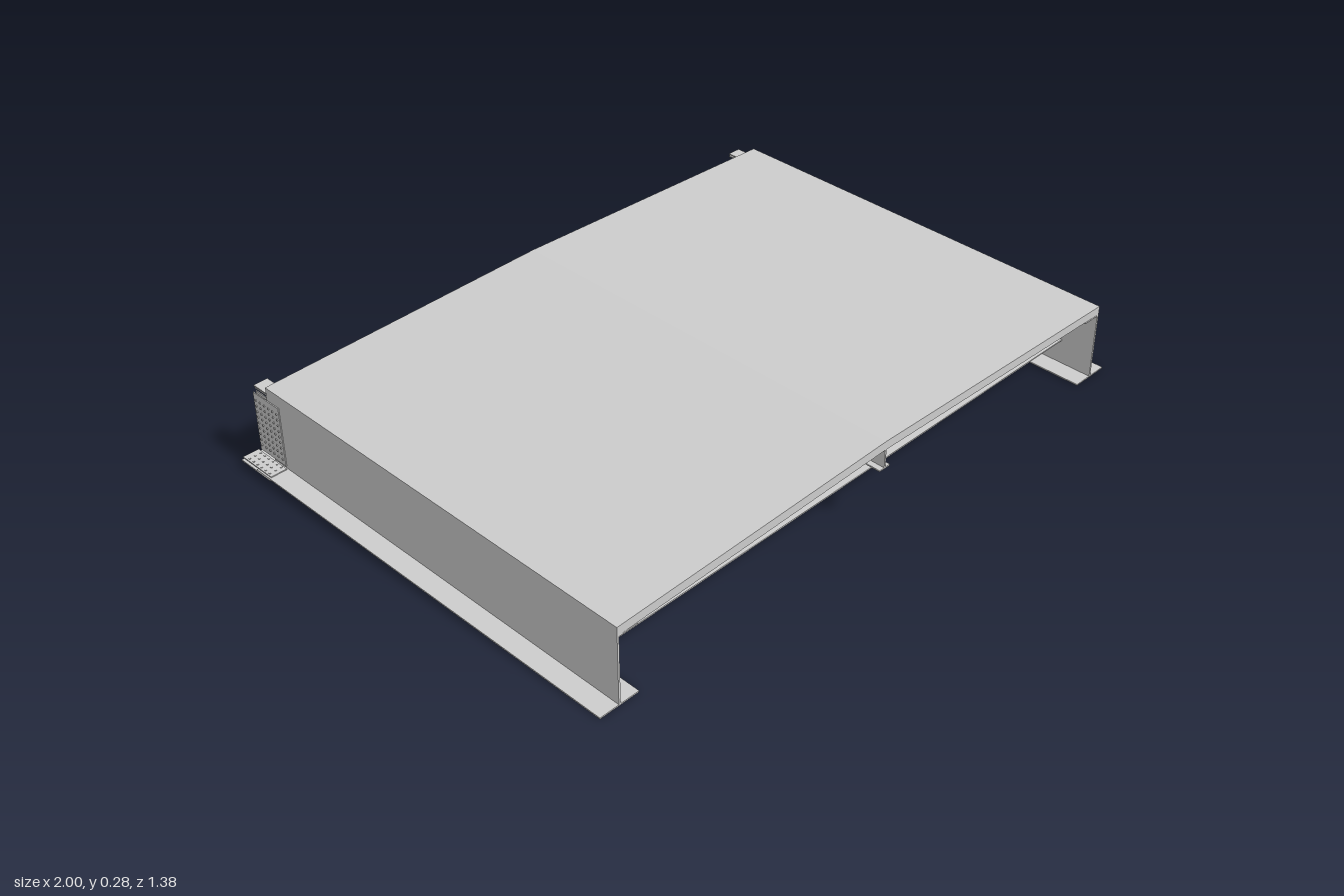
import * as THREE from 'three';
import { mergeGeometries } from 'three/addons/utils/BufferGeometryUtils.js';

const FRONT = 0.688, BACK = -0.622;
const GRADE = 0.0185;   // lengthwise rise towards the back
const CROWN = 0.022;    // fall from the centreline to each side
const SLAB_Y = 0.232;   // underside of slab at the centreline, front end

const material = new THREE.MeshStandardMaterial({ color: 0xcccccc, flatShading: true });

// Lift every vertex by the lengthwise grade; `crown` picks which vertices also follow the cross fall.
function bend(geometry, crown = () => false) {
  const p = geometry.attributes.position;
  const old = p.array.slice();
  for (let i = 0; i < p.count; i++) {
    const x = old[i * 3], y = old[i * 3 + 1], z = old[i * 3 + 2];
    const fall = crown(y) ? CROWN * Math.abs(x) / 0.94 : 0;
    p.setY(i, y + (FRONT - z) * GRADE - fall);
  }
  geometry.computeVertexNormals();
  return geometry;
}

// Box given by its limits, split at the middle of x so that it can be crowned.
function block(x0, x1, y0, y1, z0, z1, crown) {
  const g = new THREE.BoxGeometry(x1 - x0, y1 - y0, z1 - z0, 2, 1, 1);
  g.translate((x0 + x1) / 2, (y0 + y1) / 2, (z0 + z1) / 2);
  return bend(g, crown);
}

function add(parent, name, geometry) {
  const mesh = new THREE.Mesh(geometry, material);
  mesh.name = name;
  parent.add(mesh);
}

// Small hexagonal bolt passing through a plate along the x or y axis.
function bolt(x, y, z, length, alongX) {
  const g = new THREE.CylinderGeometry(0.0032, 0.0032, length, 6);
  if (alongX) g.rotateZ(Math.PI / 2);
  g.translate(x, y, z);
  return bend(g);
}

// Edge girder with its bolted splice plates; s is the side (+1 left, -1 right).
function createGirder(s) {
  const girder = new THREE.Group();
  girder.name = s > 0 ? 'leftGirder' : 'rightGirder';
  const side = (x0, x1, ...rest) => block(Math.min(s * x0, s * x1), Math.max(s * x0, s * x1), ...rest);

  add(girder, 'girderWeb', side(0.934, 0.94, 0.002, 0.21, BACK, FRONT));
  add(girder, 'girderBottomFlange', side(0.875, 1, 0, 0.004, BACK, FRONT));
  add(girder, 'girderTopFlange', side(0.876, 0.94, 0.206, 0.21, BACK, FRONT));

  // Splice plates reach past the back end of the girder
  for (const x of [0.931, 0.94]) {
    add(girder, 'webSplicePlate', side(x, x + 0.003, 0.011, 0.196, -0.68, -0.57));
  }
  add(girder, 'bottomSplicePlate', side(0.875, 1, -0.004, 0, -0.69, -0.565));
  for (const x of [0.88, 0.945]) {
    add(girder, 'innerBottomSplicePlate', side(x, x + 0.05, 0.004, 0.007, -0.69, -0.565));
  }
  add(girder, 'topSplicePlate', side(0.892, 0.934, 0.202, 0.206, -0.683, -0.565));
  add(girder, 'topSpliceCover', side(0.892, 0.936, 0.21, 0.213, -0.683, BACK));

  // Bolt grids
  const bolts = [];
  for (let col = 0; col < 6; col++) {
    const z = -0.58 - col * 0.018;
    for (let row = 0; row < 9; row++) bolts.push(bolt(s * 0.937, 0.03 + row * 0.018, z, 0.017, true));
    for (const x of [0.888, 0.906, 0.924, 0.952, 0.97, 0.988]) bolts.push(bolt(s * x, 0.0015, z, 0.015, false));
    for (const x of [0.902, 0.922]) bolts.push(bolt(s * x, 0.206, z, 0.014, false));
  }
  add(girder, 'spliceBolts', mergeGeometries(bolts));
  return girder;
}

// Cross beam: level bottom flange, web and top flange following the crown.
function createCrossBeam(z) {
  const beam = new THREE.Group();
  beam.name = 'crossBeam';
  const b = 0.077, w = 0.934;
  add(beam, 'crossBeamWeb', block(-w, w, b, SLAB_Y, z - 0.003, z + 0.003, (y) => y > 0.2));
  add(beam, 'crossBeamBottomFlange', block(-w, w, b, b + 0.004, z - 0.04, z + 0.04));
  add(beam, 'crossBeamTopFlange', block(-w, w, SLAB_Y - 0.004, SLAB_Y, z - 0.035, z + 0.035, () => true));
  return beam;
}

export function createModel() {
  const model = new THREE.Group();
  model.name = 'bridgeSpan';

  // Crowned deck slab
  add(model, 'deckSlab', block(-0.94, 0.94, SLAB_Y, SLAB_Y + 0.026, BACK, FRONT, () => true));

  for (const s of [1, -1]) model.add(createGirder(s));
  for (const z of [-0.325, 0.11, 0.545]) model.add(createCrossBeam(z));

  // Tee-shaped stringer along the centreline
  add(model, 'stringerWeb', block(-0.0025, 0.0025, 0.175, SLAB_Y, BACK, FRONT));
  add(model, 'stringerFlange', block(-0.02, 0.02, 0.173, 0.177, BACK, FRONT));

  return model;
}
